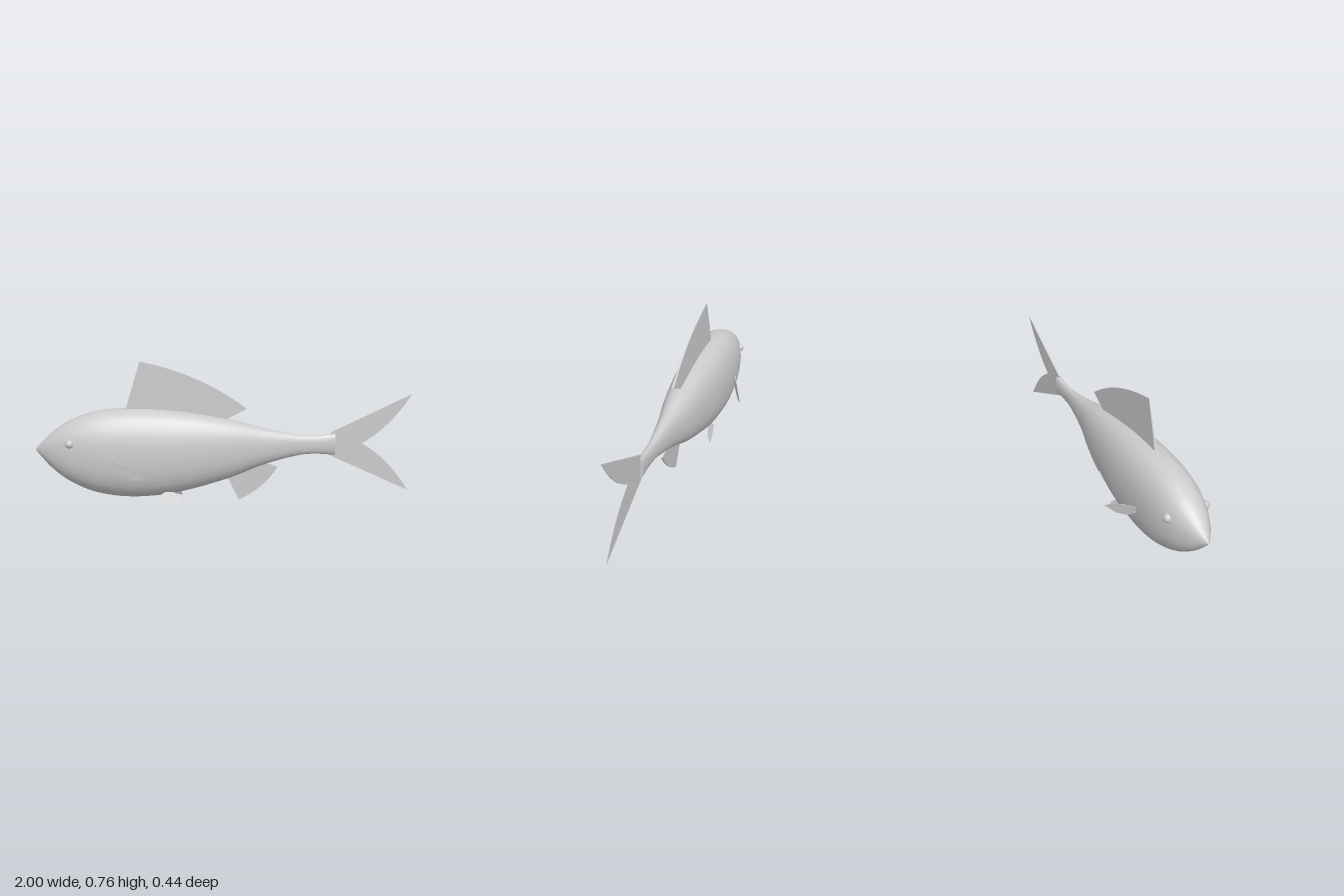
import * as THREE from 'three';

const material = new THREE.MeshStandardMaterial({ color: 0xcccccc, side: THREE.DoubleSide });

// Body stations from snout to tail: x, top y, bottom y, half width
const STATIONS = [
  [-1, 0.307, 0.301, 0.003], [-0.96, 0.35, 0.252, 0.037], [-0.91, 0.395, 0.197, 0.07],
  [-0.82, 0.455, 0.128, 0.107], [-0.68, 0.503, 0.066, 0.133], [-0.49, 0.517, 0.039, 0.14],
  [-0.26, 0.503, 0.058, 0.13], [0.01, 0.455, 0.128, 0.095], [0.2, 0.403, 0.2, 0.056],
  [0.385, 0.364, 0.248, 0.028], [0.49, 0.357, 0.256, 0.022], [0.592, 0.366, 0.248, 0.022],
];
const SIDES = 28;
const RINGS = 66;

function bodyGeometry() {
  const edge = (k) => new THREE.CatmullRomCurve3(
    STATIONS.map((s) => new THREE.Vector3(s[0], s[k], s[3])), false, 'catmullrom', 0.5).getPoints(RINGS);
  const top = edge(1), bottom = edge(2);
  const pos = [], index = [];
  // Slightly squared oval section
  const bulge = (v) => Math.sign(v) * Math.abs(v) ** 0.88;
  for (let i = 0; i <= RINGS; i++) {
    const cy = (top[i].y + bottom[i].y) / 2, ry = (top[i].y - bottom[i].y) / 2;
    for (let j = 0; j < SIDES; j++) {
      const a = (j / SIDES) * Math.PI * 2;
      pos.push(top[i].x, cy + ry * bulge(Math.cos(a)), top[i].z * bulge(Math.sin(a)));
    }
  }
  for (let i = 0; i < RINGS; i++) {
    for (let j = 0; j < SIDES; j++) {
      const a = i * SIDES + j, b = i * SIDES + (j + 1) % SIDES;
      index.push(a, b, a + SIDES, b, b + SIDES, a + SIDES);
    }
  }
  // Flat caps with their own vertices
  for (const end of [0, RINGS]) {
    const start = pos.length / 3;
    pos.push(...pos.slice(end * SIDES * 3, (end + 1) * SIDES * 3));
    for (let j = 1; j < SIDES - 1; j++) {
      if (end) index.push(start, start + j, start + j + 1);
      else index.push(start, start + j + 1, start + j);
    }
  }
  const geo = new THREE.BufferGeometry();
  geo.setAttribute('position', new THREE.Float32BufferAttribute(pos, 3));
  geo.setIndex(index);
  geo.computeVertexNormals();
  return geo;
}

// Thin fin: an outline in x and y, placed and tapered in z by rules
function finGeometry(draw, thickness, offset = () => 0) {
  const shape = new THREE.Shape();
  draw(shape);
  const geo = new THREE.ExtrudeGeometry(shape, { depth: 1, bevelEnabled: false, curveSegments: 12 });
  const p = geo.attributes.position;
  for (let i = 0; i < p.count; i++) {
    const x = p.getX(i), y = p.getY(i);
    p.setZ(i, offset(x, y) + (p.getZ(i) - 0.5) * Math.max(0.002, thickness(x, y)));
  }
  geo.computeVertexNormals();
  return geo;
}

export function createModel() {
  const fish = new THREE.Group();
  fish.name = 'fish';
  const add = (name, geo) => {
    const mesh = new THREE.Mesh(geo, material);
    mesh.name = name;
    fish.add(mesh);
    return mesh;
  };
  add('body', bodyGeometry());

  // Middle fins
  add('dorsalFin', finGeometry((s) => {
    s.moveTo(-0.53, 0.49);
    s.lineTo(-0.445, 0.765);
    s.quadraticCurveTo(-0.12, 0.695, 0.115, 0.507);
    s.lineTo(0.01, 0.455);
    s.lineTo(-0.02, 0.43);
  }, (x, y) => 0.014 - (y - 0.45) * 0.04));
  add('analFin', finGeometry((s) => {
    s.moveTo(0.01, 0.14);
    s.lineTo(0.075, 0.004);
    s.quadraticCurveTo(0.21, 0.065, 0.283, 0.185);
    s.lineTo(0.22, 0.21);
    s.lineTo(0.18, 0.23);
  }, (x, y) => 0.003 + y * 0.04));
  add('tailFin', finGeometry((s) => {
    s.moveTo(0.57, 0.372);
    s.lineTo(1, 0.577);
    s.quadraticCurveTo(0.893, 0.4, 0.738, 0.31);
    s.quadraticCurveTo(0.893, 0.22, 1, 0.043);
    s.lineTo(0.57, 0.245);
  }, (x) => 0.012 - (x - 0.57) * 0.025));

  // Paired fins and eyes
  for (const side of [1, -1]) {
    const label = side > 0 ? 'left' : 'right';
    add(label + 'PectoralFin', finGeometry((s) => {
      s.moveTo(-0.6, 0.272);
      s.lineTo(-0.505, 0.247);
      s.lineTo(-0.412, 0.19);
      s.lineTo(-0.48, 0.18);
      s.lineTo(-0.545, 0.2);
      s.lineTo(-0.585, 0.235);
    }, (x) => -0.02 * (x + 0.4) + 0.002, (x) => side * (0.13 + (x + 0.6) * 0.48)));
    add(label + 'PelvicFin', finGeometry((s) => {
      s.moveTo(-0.36, 0.05);
      s.lineTo(-0.32, 0.078);
      s.lineTo(-0.275, 0.074);
      s.lineTo(-0.24, 0.045);
      s.lineTo(-0.228, 0.004);
      s.lineTo(-0.31, 0.028);
    }, (x, y) => 0.002 + y * 0.1, (x, y) => side * (0.1 - (y - 0.005) * 0.46)));
    add(label + 'Eye', new THREE.SphereGeometry(0.023, 20, 14)).position.set(-0.81, 0.353, side * 0.1);
  }
  return fish;
}
